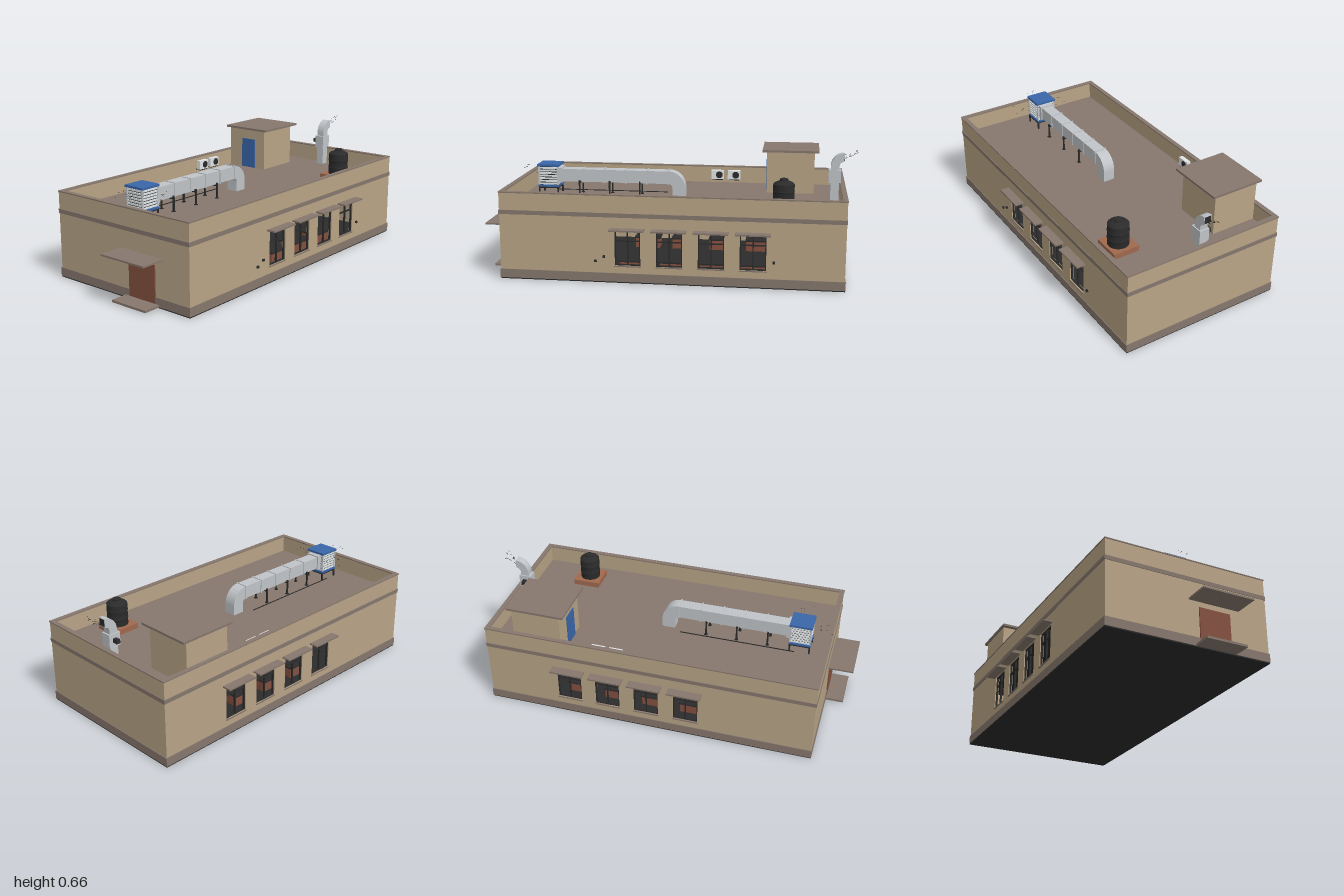
import * as THREE from 'three';
import { toCreasedNormals } from 'three/addons/utils/BufferGeometryUtils.js';

const mat = (name, color) => {
  const m = new THREE.MeshStandardMaterial({ color });
  m.name = name;
  return m;
};

export function createModel() {
  const model = new THREE.Group();
  model.name = 'flatRoofBuilding';
  const wall = mat('tan wall', 0xb8a486), trim = mat('brown trim', 0x86776d);
  const dark = mat('dark', 0x2b2b2b), metal = mat('sheet metal', 0xc0c4c8);
  const white = mat('white', 0xe2e6e8), blue = mat('blue', 0x3a66a8);
  const brick = mat('brick', 0xa0694e), wood = mat('red brown wood', 0x84503f);

  const group = (name) => {
    const g = new THREE.Group();
    g.name = name;
    model.add(g);
    return g;
  };
  const add = (parent, name, geo, m, x = 0, y = 0, z = 0) => {
    const mesh = new THREE.Mesh(geo, m);
    mesh.name = name;
    mesh.position.set(x, y, z);
    parent.add(mesh);
    return mesh;
  };
  // box given by its ranges on each axis
  const box = (parent, name, m, [x0, x1], [y0, y1], [z0, z1]) =>
    add(parent, name, new THREE.BoxGeometry(x1 - x0, y1 - y0, z1 - z0), m,
      (x0 + x1) / 2, (y0 + y1) / 2, (z0 + z1) / 2);
  const extrude = (shape, depth) => toCreasedNormals(
    new THREE.ExtrudeGeometry(shape, { depth, bevelEnabled: false, curveSegments: 12 }), 0.5);

  const X0 = -0.865, X1 = 0.925, Z = 0.45, T = 0.02, ROOF = 0.37, TOP = 0.462;
  const windowX = [-0.187, 0.03, 0.246, 0.46], WW = 0.0675, WY = [0.093, 0.282];

  // walls with window openings, floor and roof
  const shell = group('shell');
  const face = new THREE.Shape();
  face.moveTo(X0, 0.008).lineTo(X1, 0.008).lineTo(X1, TOP).lineTo(X0, TOP).closePath();
  for (const x of windowX) {
    const hole = new THREE.Path();
    hole.moveTo(x - WW, WY[0]).lineTo(x - WW, WY[1]).lineTo(x + WW, WY[1]).lineTo(x + WW, WY[0]).closePath();
    face.holes.push(hole);
  }
  const longWall = extrude(face, T);
  add(shell, 'frontWall', longWall, wall, 0, 0, Z - T);
  add(shell, 'backWall', longWall, wall, 0, 0, -Z);
  box(shell, 'rightWall', wall, [X0, X0 + T], [0.008, TOP], [-Z + T, Z - T]);
  box(shell, 'leftWall', wall, [X1 - T, X1], [0.008, TOP], [-Z + T, Z - T]);
  box(shell, 'floor', dark, [X0 - 0.002, X1 + 0.002], [0, 0.012], [-Z - 0.002, Z + 0.002]);
  box(shell, 'roof', trim, [X0 + T, X1 - T], [0.35, ROOF], [-Z + T, Z - T]);
  box(shell, 'ceiling', dark, [X0 + T, X1 - T], [0.346, 0.35], [-Z + T, Z - T]);

  // trim running around the walls
  const ring = (name, y, out, inner) => {
    for (const s of [-1, 1]) {
      const zs = [s * (Z - inner), s * (Z + out)].sort((a, b) => a - b);
      box(shell, name, trim, [X0 - out, X1 + out], y, zs);
    }
    box(shell, name, trim, [X0 - out, X0 + inner], y, [-Z + inner, Z - inner]);
    box(shell, name, trim, [X1 - inner, X1 + out], y, [-Z + inner, Z - inner]);
  };
  ring('plinth', [0.006, 0.052], 0.004, 0.001);
  ring('band', [0.349, 0.371], 0.003, 0.001);
  ring('coping', [TOP, 0.468], 0.003, 0.023);

  // windows and their shades, front and back
  for (const s of [-1, 1]) for (const x of windowX) {
    const g = group(s > 0 ? 'frontWindow' : 'backWindow');
    const zs = [s * 0.44 - 0.005, s * 0.44 + 0.005];
    for (const dx of [-WW + 0.003, 0, WW - 0.003])
      box(g, 'upright', dark, [x + dx - 0.003, x + dx + 0.003], WY, zs);
    for (const y of [WY[0] + 0.003, 0.224, WY[1] - 0.003])
      box(g, 'rail', dark, [x - WW, x + WW], [y - 0.003, y + 0.003], zs);
    const shade = [s * 0.449, s * 0.5].sort((a, b) => a - b);
    box(g, 'shade', trim, [x - 0.09, x + 0.09], [0.285, 0.293], shade);
    box(g, 'sill', trim, [x - 0.07, x + 0.07], [0.087, 0.093], [s * 0.448 - 0.007, s * 0.448 + 0.007]);
  }

  // room interior: benches, hanging lamps and air outlet
  const room = group('interior');
  for (const x of windowX) {
    for (const z of [-0.25, 0.25]) {
      box(room, 'bench', wood, [x - 0.07, x + 0.07], [0.012, 0.07], [z - 0.05, z + 0.05]);
      box(room, 'benchTop', dark, [x - 0.075, x + 0.075], [0.07, 0.078], [z - 0.06, z + 0.06]);
    }
    add(room, 'lampShade', new THREE.ConeGeometry(0.018, 0.016, 12), dark, x, 0.233, 0);
    add(room, 'lampCord', new THREE.CylinderGeometry(0.0015, 0.0015, 0.106, 6), dark, x, 0.293, 0);
  }
  box(room, 'airOutlet', metal, [-0.02, 0.07], [0.268, 0.346], [-0.04, 0.04]);

  // entrance on the right end
  const entry = group('entrance');
  box(entry, 'canopy', trim, [-1, X0], [0.246, 0.255], [0, 0.285]);
  box(entry, 'step', trim, [-0.965, X0], [0.006, 0.018], [0.03, 0.255]);
  box(entry, 'door', wood, [X0 - 0.006, X0], [0.018, 0.215], [0.055, 0.23]);
  box(entry, 'innerDoor', wood, [X0 + T, X0 + T + 0.004], [0.018, 0.215], [0.055, 0.23]);

  // small wall fittings
  for (const [x, y] of [[-0.31, 0.14], [-0.355, 0.115], [0.567, 0.14]])
    box(shell, 'fitting', dark, [x - 0.006, x + 0.006], [y - 0.006, y + 0.006], [Z, Z + 0.008]);

  // stair room on the roof
  const stair = group('stairRoom');
  box(stair, 'stairWalls', wall, [0.5, 0.765], [ROOF, 0.605], [-0.43, -0.17]);
  box(stair, 'stairRoof', trim, [0.475, 0.79], [0.605, 0.617], [-0.441, -0.14]);
  box(stair, 'stairDoor', blue, [0.495, 0.5], [ROOF, 0.545], [-0.335, -0.24]);

  // water tank on a brick base
  const tank = group('waterTank');
  box(tank, 'tankBase', brick, [0.53, 0.68], [ROOF, 0.4], [0.22, 0.365]);
  const profile = [[0, 0.4], [0.055, 0.4], [0.055, 0.435], [0.057, 0.438], [0.055, 0.441], [0.055, 0.478],
    [0.057, 0.481], [0.055, 0.484], [0.055, 0.517], [0.048, 0.524], [0.022, 0.536], [0.022, 0.543], [0.018, 0.546], [0, 0.546]];
  add(tank, 'tankBody', toCreasedNormals(new THREE.LatheGeometry(
    profile.map(([r, y]) => new THREE.Vector2(r, y)), 28), 0.6), dark, 0.605, 0, 0.295);

  // air duct with an elbow down into the roof
  const duct = group('airDuct');
  const d = new THREE.Shape();
  d.moveTo(-0.635, 0.445).lineTo(-0.03, 0.445);
  d.absarc(-0.03, 0.425, 0.02, Math.PI / 2, 0, true);
  d.lineTo(-0.01, ROOF).lineTo(0.06, ROOF).lineTo(0.06, 0.425);
  d.absarc(-0.03, 0.425, 0.09, 0, Math.PI / 2, false);
  d.lineTo(-0.635, 0.515).closePath();
  add(duct, 'ductBody', extrude(d, 0.066), metal, 0, 0, -0.033);
  for (let i = 0; i < 6; i++) {
    const x = -0.632 + i * 0.12;
    box(duct, 'ductFlange', metal, [x - 0.003, x + 0.003], [0.441, 0.519], [-0.037, 0.037]);
  }
  for (const x of [-0.53, -0.36, -0.19]) {
    box(duct, 'crossbar', dark, [x - 0.004, x + 0.004], [0.437, 0.445], [-0.048, 0.048]);
    for (const z of [-0.043, 0.043]) {
      box(duct, 'ductLeg', dark, [x - 0.004, x + 0.004], [ROOF, 0.455], [z - 0.004, z + 0.004]);
      box(duct, 'ductFoot', dark, [x - 0.008, x + 0.008], [ROOF, 0.374], [z - 0.008, z + 0.008]);
    }
  }
  box(duct, 'waterPipe', dark, [-0.68, -0.05], [0.376, 0.38], [-0.073, -0.069]);

  // louvred air cooler on a stand
  const cooler = group('airCooler');
  const cx = -0.705, ring2 = (r) => [[cx - r, cx + r], [-r - 0.004, r - 0.004]];
  const part = (name, m, y, r) => { const [xs, zs] = ring2(r); box(cooler, name, m, xs, y, zs); };
  part('coolerTop', blue, [0.53, 0.542], 0.061);
  part('coolerBase', blue, [0.415, 0.426], 0.058);
  part('coolerCore', dark, [0.426, 0.53], 0.05);
  for (let i = 0; i < 7; i++) part('louvre', white, [0.428 + i * 0.0147, 0.438 + i * 0.0147], 0.054);
  for (const sx of [-1, 1]) for (const sz of [-1, 1]) {
    const x = cx + sx * 0.053, z = -0.004 + sz * 0.053;
    box(cooler, 'cornerPost', metal, [x - 0.004, x + 0.004], [0.426, 0.53], [z - 0.004, z + 0.004]);
    box(cooler, 'standLeg', dark, [x - 0.004, x + 0.004], [ROOF, 0.415], [z - 0.004, z + 0.004]);
  }
  part('standFrame', dark, [0.408, 0.415], 0.057);
  box(cooler, 'coolerCollar', metal, [-0.655, -0.628], [0.438, 0.522], [-0.04, 0.04]);

  // exhaust stack with its fan box and bent mouth
  const stack = group('exhaustStack');
  const e = new THREE.Shape();
  e.moveTo(0.85, ROOF).lineTo(0.895, ROOF).lineTo(0.895, 0.565);
  e.absarc(0.92, 0.565, 0.025, Math.PI, Math.PI / 2, true);
  e.lineTo(0.92, 0.635);
  e.absarc(0.92, 0.565, 0.07, Math.PI / 2, Math.PI, false);
  e.closePath();
  add(stack, 'stackPipe', extrude(e, 0.044), metal, 0, 0, -0.022);
  box(stack, 'stackMouth', dark, [0.92, 0.921], [0.594, 0.631], [-0.018, 0.018]);
  box(stack, 'fanBox', metal, [0.838, 0.904], [0.475, 0.545], [-0.028, 0.028]);
  box(stack, 'fanMotor', dark, [0.86, 0.882], [0.5, 0.522], [-0.056, -0.028]);

  // two fan units hung inside the back parapet
  for (const x of [0.203, 0.3]) {
    const unit = group('fanUnit');
    box(unit, 'unitCase', white, [x - 0.037, x + 0.037], [0.395, 0.447], [-0.417, -0.393]);
    box(unit, 'unitBracket', dark, [x - 0.03, x + 0.03], [0.39, 0.395], [-0.43, -0.395]);
    add(unit, 'unitFan', new THREE.CylinderGeometry(0.02, 0.02, 0.004, 20).rotateX(Math.PI / 2),
      dark, x + 0.01, 0.421, -0.392);
  }

  // fine streaks of moving air
  let seed = 7;
  const rnd = () => (seed = (seed * 16807) % 2147483647) / 2147483647;
  const air = group('airStreaks');
  const streak = new THREE.BoxGeometry(0.012, 0.0012, 0.0012);
  for (let i = 0; i < 18; i++) {
    const t = rnd(), a = add(air, 'exhaustStreak', streak, dark,
      0.925 + t * 0.065, 0.612 + t * 0.035 + (rnd() - 0.5) * 0.03, (rnd() - 0.5) * (0.03 + 0.06 * t));
    a.rotation.z = 0.5;
    const side = i % 3, r = 0.07 + rnd() * 0.11, off = (rnd() - 0.5) * 0.08;
    const c = add(air, 'coolerStreak', streak, dark, cx + (side ? off : -r), 0.48 + rnd() * 0.045,
      side ? (side === 1 ? r : -r) : off);
    c.rotation.y = side ? Math.PI / 2 : 0;
  }
  return model;
}
